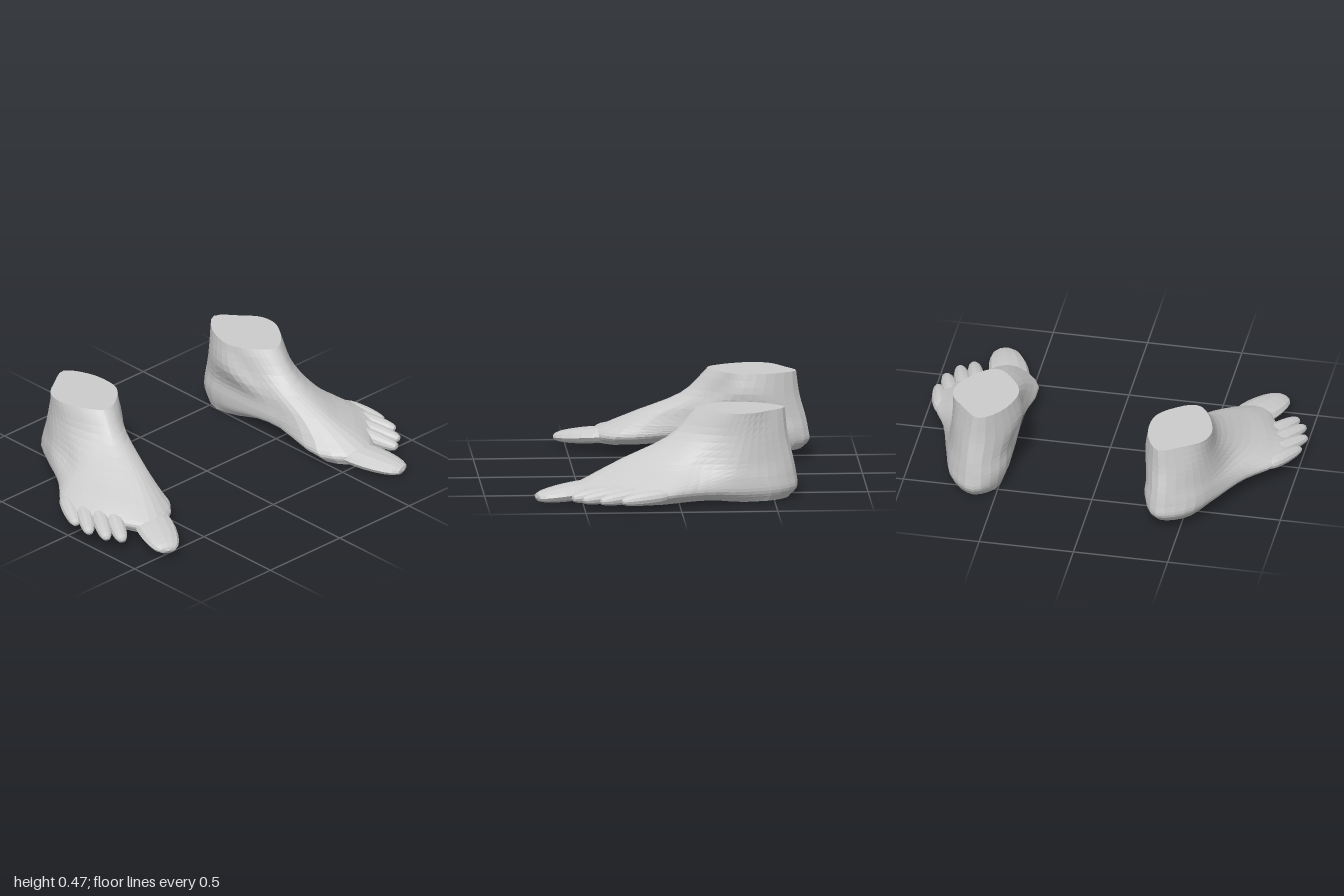
import * as THREE from 'three';

const TOP = 0.48, COLS = 40, ROWS = 18;
const skin = new THREE.MeshStandardMaterial({ color: 0xcccccc, flatShading: true });

// Horizontal outlines of the left foot: height, then x,z pairs
// from the back of the heel round the outer side, toes and inner side
const LAYERS = [
  [0.02, [.61, -.58, .72, -.5, .77, -.3, .82, -.08, .91, .12, .9, .27, .79, .38, .64, .53, .5, .42, .54, .02, .52, -.25, .5, -.48]],
  [0.07, [.61, -.625, .74, -.52, .81, -.3, .87, -.08, .955, .11, .94, .27, .8, .41, .64, .55, .46, .4, .48, .05, .47, -.22, .49, -.5]],
  [0.13, [.61, -.62, .745, -.5, .81, -.3, .85, -.1, .89, .07, .87, .2, .77, .35, .62, .46, .48, .34, .47, .05, .46, -.22, .48, -.5]],
  [0.21, [.61, -.605, .73, -.49, .79, -.32, .79, -.12, .79, 0, .76, .1, .68, .23, .59, .3, .5, .22, .475, .02, .46, -.2, .48, -.48]],
  [0.34, [.6, -.575, .72, -.47, .77, -.35, .76, -.22, .72, -.11, .67, -.03, .61, .03, .56, .03, .505, -.03, .46, -.15, .41, -.27, .46, -.45]],
  [TOP, [.59, -.56, .69, -.47, .76, -.38, .765, -.29, .72, -.2, .66, -.13, .6, -.09, .55, -.1, .49, -.16, .44, -.24, .43, -.31, .48, -.46]],
];

// Toes: root, tip, root radius, tip radius, flattening
const TOES = [
  ['bigToe', [.59, .075, .36], [.71, .036, .745], .115, .09, .45],
  ['secondToe', [.75, .085, .26], [.835, .052, .565], .05, .042, .85],
  ['thirdToe', [.81, .085, .22], [.9, .055, .515], .05, .04, .85],
  ['fourthToe', [.86, .085, .16], [.955, .058, .425], .05, .038, .85],
  ['littleToe', [.905, .08, .06], [.975, .06, .315], .052, .036, .85],
];

const V = (x, y, z) => new THREE.Vector3(x, y, z);

// Raises the inner arch and lowers the heel, fading out upward
function shapeSole(p) {
  const low = Math.max(0, 1 - p.y / 0.16);
  const inner = THREE.MathUtils.smoothstep(0.72 - p.x, 0, 0.2);
  p.y += low * (0.045 * Math.exp(-(((p.z + 0.02) / 0.2) ** 2)) * inner);
  p.y += low * 0.01 * (THREE.MathUtils.smoothstep(p.z, -0.35, -0.15) * 2 - 1);
  return p;
}

// The left foot stays in place; the right is mirrored, turned out and lifted
const placeLeft = p => p;
function placeRight(p) {
  const a = THREE.MathUtils.degToRad(16), dx = p.x - 0.61, dz = p.z + 0.63;
  const lift = THREE.MathUtils.mapLinear(p.z, -0.6, 0.7, 0.055, 0.03);
  return V(
    -0.385 - (dx * Math.cos(a) + dz * Math.sin(a)),
    p.y + lift * Math.max(0, 1 - p.y / TOP),
    -0.75 + dz * Math.cos(a) - dx * Math.sin(a));
}

function makeMesh(name, points, faces, place, mirrored) {
  const g = new THREE.BufferGeometry().setFromPoints(points.map(place));
  g.setIndex(faces.flatMap(([a, b, c]) => (mirrored ? [a, c, b] : [a, b, c])));
  g.computeVertexNormals();
  const m = new THREE.Mesh(g, skin);
  m.name = name;
  return m;
}

// Sole, instep, heel and ankle as one loft, plus the flat cut on top
function buildBody(place, mirrored) {
  const rings = LAYERS.map(([y, c]) => {
    const pts = [];
    for (let i = 0; i < c.length; i += 2) pts.push(V(c[i], y, c[i + 1]));
    const curve = new THREE.CatmullRomCurve3(pts, true);
    return Array.from({ length: COLS }, (_, i) => curve.getPoint(i / COLS));
  });
  const columns = Array.from({ length: COLS }, (_, i) =>
    new THREE.CatmullRomCurve3(rings.map(r => r[i])));
  const points = [], faces = [];
  for (let j = 0; j <= ROWS; j++) {
    for (const col of columns) points.push(shapeSole(col.getPoint(j / ROWS)));
  }
  for (let j = 0; j < ROWS; j++) {
    for (let i = 0; i < COLS; i++) {
      const k = (i + 1) % COLS, a = j * COLS + i, b = j * COLS + k;
      faces.push([a, a + COLS, b], [b, a + COLS, b + COLS]);
    }
  }
  // underside: an inner ring, then a fan
  const mid = V(0.66, 0.032, -0.05), inner = points.length;
  for (let i = 0; i < COLS; i++) {
    const p = points[i].clone().lerp(mid, 0.4);
    points.push(p);
  }
  const hub = points.push(mid) - 1;
  for (let i = 0; i < COLS; i++) {
    const k = (i + 1) % COLS;
    faces.push([i, k, inner + i], [k, inner + k, inner + i], [hub, inner + i, inner + k]);
  }
  const rim = points.slice(ROWS * COLS, (ROWS + 1) * COLS);
  const cut = [...rim, V(0.6, TOP, -0.32)];
  const cutFaces = rim.map((_, i) => [COLS, (i + 1) % COLS, i]);
  return [
    makeMesh('footBody', points, faces, place, mirrored),
    makeMesh('ankleCut', cut, cutFaces, place, mirrored),
  ];
}

// A blunt, tapered, flattened toe running from root to tip
function buildToe([name, root, tip, r0, r1, flat], place, mirrored) {
  const a = V(...root), dir = V(...tip).sub(a);
  if (mirrored && name === 'bigToe') dir.x -= 0.05;
  const length = dir.length();
  dir.normalize();
  const side = dir.clone().cross(V(0, 1, 0)).normalize();
  const up = side.clone().cross(dir);
  const ball = new THREE.SphereGeometry(1, 12, 10);
  const pos = ball.attributes.position, idx = ball.index.array;
  const points = [], faces = [];
  for (let i = 0; i < pos.count; i++) {
    const v = V().fromBufferAttribute(pos, i);
    const t = (v.y + 1) / 2, ringR = Math.hypot(v.x, v.z);
    const r = ringR > 1e-4 ? THREE.MathUtils.lerp(r0, r1, t) * ringR ** -0.4 : 0;
    points.push(a.clone().addScaledVector(dir, t * length)
      .addScaledVector(side, v.x * r).addScaledVector(up, v.z * r * flat));
  }
  for (const p of points) p.y = Math.max(p.y, 0.003);
  for (let i = 0; i < idx.length; i += 3) faces.push([idx[i], idx[i + 1], idx[i + 2]]);
  return makeMesh(name, points, faces, place, mirrored);
}

function buildFoot(name, place, mirrored) {
  const foot = new THREE.Group();
  foot.name = name;
  foot.add(...buildBody(place, mirrored));
  for (const toe of TOES) foot.add(buildToe(toe, place, mirrored));
  return foot;
}

export function createModel() {
  const group = new THREE.Group();
  group.name = 'feet';
  group.add(buildFoot('leftFoot', placeLeft, false), buildFoot('rightFoot', placeRight, true));
  return group;
}
